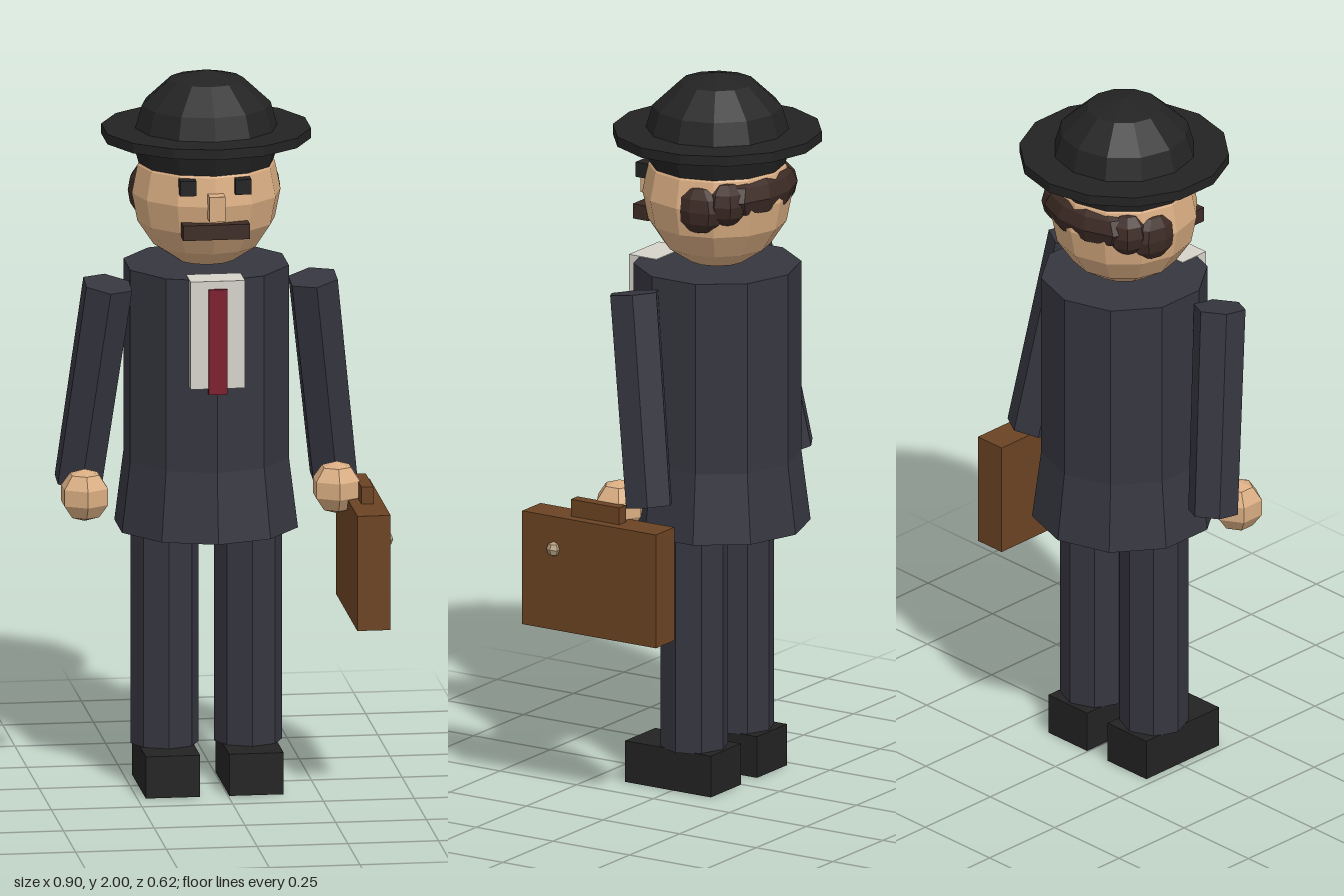
import * as THREE from 'three';

const mat = (name, color) => {
  const m = new THREE.MeshStandardMaterial({ color, flatShading: true });
  m.name = name;
  return m;
};

export function createModel() {
  const M = {
    suit: mat('charcoal suit', 0x363640),
    black: mat('black felt and leather', 0x232323),
    skin: mat('skin', 0xd9ad82),
    hair: mat('dark brown hair', 0x3d2b25),
    shirt: mat('off-white shirt', 0xd6d3ca),
    tie: mat('dark red tie', 0x7c1e2e),
    leather: mat('brown leather', 0x6b4323),
    clasp: mat('brass clasp', 0xb8a080),
  };
  const model = new THREE.Group();
  // the figure stands slightly off centre to balance the briefcase
  const man = new THREE.Group();
  man.name = 'man';
  man.position.set(-0.037, 0, -0.022);
  const briefcase = new THREE.Group();
  briefcase.name = 'briefcase';
  model.add(man, briefcase);

  const add = (parent, name, geo, material, x, y, z) => {
    const mesh = new THREE.Mesh(geo, material);
    mesh.name = name;
    mesh.position.set(x, y, z);
    parent.add(mesh);
    return mesh;
  };
  // box given by its limits
  const box = (parent, name, material, x0, x1, y0, y1, z0, z1) =>
    add(parent, name, new THREE.BoxGeometry(x1 - x0, y1 - y0, z1 - z0), material,
      (x0 + x1) / 2, (y0 + y1) / 2, (z0 + z1) / 2);
  const ball = (parent, name, material, x, y, z, rx, ry, rz, w, h) =>
    add(parent, name, new THREE.SphereGeometry(1, w, h).scale(rx, ry, rz), material, x, y, z);

  // jacket
  add(man, 'jacket', new THREE.CylinderGeometry(0.23, 0.23, 0.54, 10), M.suit, 0, 1.19, 0);
  add(man, 'jacketSkirt', new THREE.CylinderGeometry(0.23, 0.255, 0.195, 10), M.suit, 0, 0.8225, 0);
  box(man, 'shirtFront', M.shirt, -0.075, 0.075, 1.16, 1.462, 0.15, 0.24);
  box(man, 'tie', M.tie, -0.026, 0.026, 1.145, 1.44, 0.235, 0.249);

  // head and face
  ball(man, 'head', M.skin, 0, 1.66, 0, 0.205, 0.205, 0.205, 12, 8);
  box(man, 'nose', M.skin, -0.022, 0.022, 1.627, 1.697, 0.15, 0.236);
  box(man, 'moustache', M.hair, -0.092, 0.092, 1.572, 1.614, 0.165, 0.216);
  ball(man, 'backHair', M.hair, 0, 1.685, -0.125, 0.165, 0.075, 0.085, 10, 6);

  // bowler hat
  ball(man, 'hatCrown', M.black, 0, 1.81, 0, 0.205, 0.19, 0.205, 12, 6);
  add(man, 'hatBrim', new THREE.CylinderGeometry(0.288, 0.288, 0.028, 14), M.black, 0, 1.828, 0);

  for (const s of [1, -1]) {
    const side = s > 0 ? 'left' : 'right';
    const at = s * 0.076;
    box(man, side + 'Eye', M.black, at - 0.022, at + 0.022, 1.694, 1.736, 0.16, 0.203);
    ball(man, side + 'SideHair', M.hair, s * 0.165, 1.658, -0.045, 0.045, 0.07, 0.08, 8, 6);
    ball(man, side + 'RearHair', M.hair, s * 0.125, 1.675, -0.11, 0.06, 0.065, 0.06, 8, 6);

    // sleeve slanting outward and back, with the hand in front of the cuff
    const top = new THREE.Vector3(s * 0.283, 1.427, 0.087);
    const cuff = new THREE.Vector3(s * 0.352, 0.853, -0.007);
    const axis = top.clone().sub(cuff);
    const sleeve = add(man, side + 'Sleeve', new THREE.CylinderGeometry(0.073, 0.07, axis.length(), 6),
      M.suit, 0, 0, 0);
    sleeve.position.copy(top).add(cuff).multiplyScalar(0.5);
    sleeve.quaternion.setFromUnitVectors(new THREE.Vector3(0, 1, 0), axis.normalize());
    const hand = ball(man, side + 'Hand', M.skin, s * 0.347, 0.838, 0.092, 0.073, 0.073, 0.073, 6, 5);
    hand.rotation.y = Math.PI / 6;

    // trouser leg and shoe
    add(man, side + 'Leg', new THREE.CylinderGeometry(0.094, 0.094, 0.65, 8), M.suit, s * 0.115, 0.44, 0);
    box(man, side + 'Shoe', M.black, s * 0.115 - 0.075, s * 0.115 + 0.075, 0, 0.117, -0.103, 0.177);
  }

  // briefcase
  box(briefcase, 'case', M.leather, 0.335, 0.427, 0.49, 0.812, -0.125, 0.312);
  box(briefcase, 'handle', M.leather, 0.365, 0.398, 0.8, 0.86, 0.014, 0.172);
  ball(briefcase, 'clasp', M.clasp, 0.427, 0.72, 0.208, 0.021, 0.021, 0.021, 6, 4);

  return model;
}
